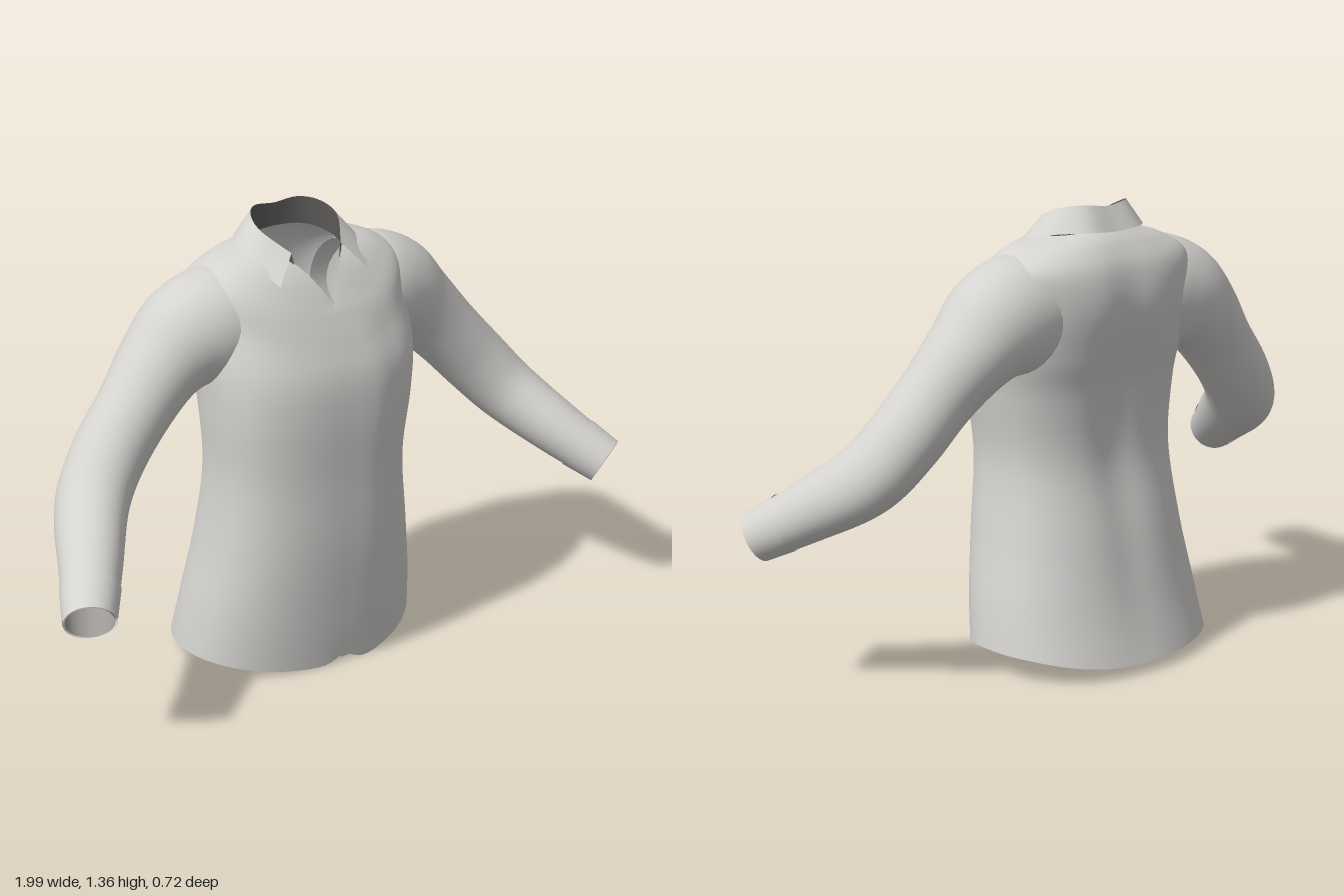
import * as THREE from 'three';

function material(name, color) {
  const m = new THREE.MeshStandardMaterial({ color, side: THREE.DoubleSide });
  m.name = name;
  return m;
}
const fabric = material('light grey fabric', 0xd4d3d0);
const sleeveLining = material('mid grey lining', 0x9c9894);
const darkLining = material('dark grey lining', 0x5e5c5a);

// Smooth interpolation through a table of equal-length rows, t in 0..1
function sample(rows, t) {
  const last = rows.length - 1;
  const f = Math.min(Math.max(t, 0), 1) * last;
  const i = Math.min(Math.floor(f), last - 1);
  const s = f - i;
  const at = (k) => rows[Math.min(Math.max(k, 0), last)];
  const [a, b, c, d] = [at(i - 1), at(i), at(i + 1), at(i + 2)];
  return b.map((p1, k) => {
    const m1 = (c[k] - a[k]) / 2, m2 = (d[k] - p1) / 2, p2 = c[k];
    return p1 + s * (m1 + s * (3 * (p2 - p1) - 2 * m1 - m2 + s * (2 * (p1 - p2) + m1 + m2)));
  });
}

// Surface from point(u, v), optionally wrapping around in u
function surface(name, mat, point, nu, nv, wrap) {
  const cols = wrap ? nu : nu + 1;
  const pos = [], index = [];
  for (let j = 0; j <= nv; j++)
    for (let i = 0; i < cols; i++) pos.push(...point(i / nu, j / nv));
  for (let j = 0; j < nv; j++)
    for (let i = 0; i < nu; i++) {
      const a = j * cols + i, b = j * cols + ((i + 1) % cols);
      index.push(a, a + cols, b, b, a + cols, b + cols);
    }
  const geo = new THREE.BufferGeometry();
  geo.setAttribute('position', new THREE.Float32BufferAttribute(pos, 3));
  geo.setIndex(index);
  geo.computeVertexNormals();
  const mesh = new THREE.Mesh(geo, mat);
  mesh.name = name;
  return mesh;
}

// Body rings: right width, left width, front z, back z, side z,
// right y, left y, front y, back y, front roundness, back roundness, front drop
const bodyRings = [
  [0.402, 0.368, 0.186, -0.367, -0.09, 0.045, 0.083, 0.003, 0.036, 2.3, 2.2, 2.2],
  [0.38, 0.348, 0.203, -0.325, -0.07, 0.2, 0.22, 0.18, 0.19, 2.4, 2.2, 2.5],
  [0.345, 0.312, 0.218, -0.28, -0.04, 0.4, 0.4, 0.4, 0.4, 2.5, 2.3, 3],
  [0.325, 0.284, 0.219, -0.234, -0.02, 0.62, 0.62, 0.62, 0.62, 2.6, 2.4, 3],
  [0.335, 0.31, 0.22, -0.245, -0.02, 0.82, 0.82, 0.8, 0.82, 2.7, 2.4, 3],
  [0.342, 0.332, 0.207, -0.272, -0.05, 0.96, 0.96, 0.93, 0.94, 2.7, 2.4, 3],
  [0.338, 0.333, 0.172, -0.297, -0.09, 1.1, 1.1, 1.03, 1.08, 2.4, 2.3, 3],
  [0.338, 0.333, 0.146, -0.282, -0.1, 1.2, 1.2, 1.09, 1.19, 2.2, 2.3, 3],
  [0.265, 0.26, 0.132, -0.238, -0.08, 1.255, 1.255, 1.12, 1.26, 1.9, 2.3, 3],
  [0.17, 0.16, 0.122, -0.19, -0.06, 1.285, 1.285, 1.135, 1.3, 1.12, 2.3, 5],
];

// The body wraps once round from under the front edge to the overlapping front edge
function bodyPoint(u, v) {
  const [wr, wl, zf, zb, zs, yr, yl, yf, yb, nf, nb, drop] = sample(bodyRings, v);
  const a = (0.238 + u * 1.016) * Math.PI * 2, c = Math.cos(a), s = Math.sin(a);
  const power = 2 / (s > 0 ? nf : nb);
  const x = Math.sign(c) * Math.pow(Math.abs(c), power) * (c > 0 ? wl : wr);
  const depth = Math.pow(Math.abs(s), power);
  let z = zs + ((s > 0 ? zf : zb) - zs) * depth;
  const side = (yr + yl) / 2 + (yl - yr) / 2 * c;
  let y = side + ((s > 0 ? yf : yb) - side) * Math.pow(Math.abs(s), s > 0 ? drop : 3);
  // spine hollow and the small notch in the front hem
  if (s < 0) z += 0.018 * Math.exp(-((x / 0.08) ** 2)) * Math.sin(Math.PI * Math.min(1, v * 1.05));
  else y += 0.025 * Math.exp(-((x / 0.04) ** 2)) * Math.max(0, 1 - v * 12);
  // raise the overlapping edge clear of the layer beneath
  z += 0.008 * THREE.MathUtils.smoothstep(u, 0.92, 0.97);
  return [x, y, z];
}

// Facing strip on the inside of the front edge
function facingPoint(u, v) {
  const [x, y, z] = bodyPoint(0.006 + u * 0.012, v * 0.9);
  return [x, y, z - 0.006];
}

// Sleeve path: x, y, z, radius across, radius front to back
const sleeveRings = [
  [0.17, 1.085, -0.085, 0.15, 0.16],
  [0.27, 1.07, -0.088, 0.174, 0.164],
  [0.362, 1.043, -0.097, 0.161, 0.155],
  [0.45, 0.98, -0.097, 0.128, 0.135],
  [0.55, 0.878, -0.08, 0.111, 0.115],
  [0.66, 0.757, -0.058, 0.106, 0.114],
  [0.75, 0.652, -0.003, 0.099, 0.113],
  [0.845, 0.547, 0.142, 0.085, 0.093],
  [0.93, 0.463, 0.27, 0.071, 0.074],
];

function sleevePoint(side, extra, from) {
  const centre = (t) => {
    const [x, y, z, ra, rb] = sample(sleeveRings, t);
    const drift = side < 0 ? 0.038 * t * t * t : 0; // the right forearm reaches further forward
    return { p: new THREE.Vector3(side * x, y, z + drift), ra, rb };
  };
  return (u, v) => {
    const t = from + (1 - from) * v;
    const { p, ra, rb } = centre(t);
    const dir = centre(Math.min(1, t + 0.03)).p.sub(centre(Math.max(0, t - 0.03)).p).normalize();
    const across = new THREE.Vector3(-dir.y, dir.x, 0).normalize();
    const depth = across.clone().cross(dir);
    const a = u * Math.PI * 2;
    return p.addScaledVector(across, Math.cos(a) * (ra + extra))
      .addScaledVector(depth, Math.sin(a) * (rb + extra)).toArray();
  };
}

// Collar edges for one half, from centre back to the front point
const foldEdge = [[0, 1.362, -0.172], [0.075, 1.37, -0.162], [0.122, 1.362, -0.11], [0.132, 1.335, -0.04], [0.085, 1.285, 0.045]];
const leafEdge = [[0, 1.292, -0.207], [0.1, 1.297, -0.2], [0.178, 1.29, -0.12], [0.192, 1.266, -0.02], [0.152, 1.207, 0.088]];
const standEdge = [[0, 1.29, -0.175], [0.09, 1.285, -0.16], [0.135, 1.27, -0.1], [0.13, 1.255, -0.02], [0.075, 1.235, 0.05]];
const mirrored = (half) => [...half.slice(1).reverse().map(([x, y, z]) => [-x, y, z]), ...half];

function band(name, mat, lower, upper) {
  const lo = mirrored(lower), up = mirrored(upper);
  return surface(name, mat, (u, v) => {
    const a = sample(lo, 1 - u), b = sample(up, 1 - u);
    return a.map((p, k) => p + (b[k] - p) * v - (k === 0 ? 0.008 : 0));
  }, 48, 4, false);
}

export function createModel() {
  const group = new THREE.Group();
  group.name = 'shirt';
  group.add(surface('body', fabric, bodyPoint, 128, 72, false));
  group.add(surface('frontFacing', darkLining, facingPoint, 4, 64, false));

  for (const side of [1, -1]) {
    const label = side > 0 ? 'left' : 'right';
    group.add(surface(label + 'Sleeve', fabric, sleevePoint(side, 0, 0), 40, 54, true));
    group.add(surface(label + 'Cuff', fabric, sleevePoint(side, 0.003, 0.92), 40, 6, true));
    group.add(surface(label + 'CuffLining', sleeveLining, sleevePoint(side, -0.004, 0.85), 40, 10, true));
  }

  group.add(band('collarLeaf', fabric, leafEdge, foldEdge));
  group.add(band('collarStand', darkLining, standEdge, foldEdge));
  return group;
}
